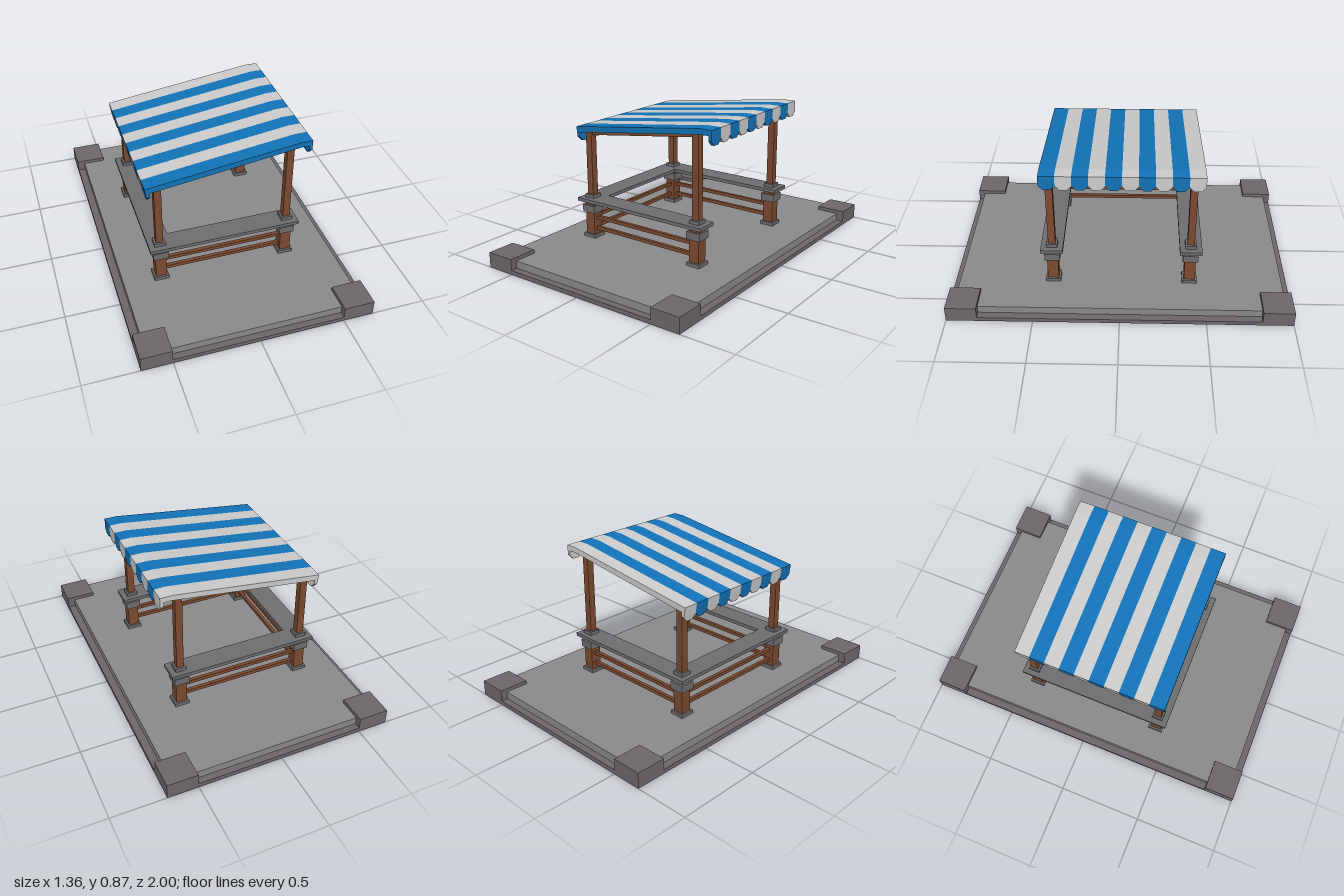
import * as THREE from 'three';

const mat = (color) => new THREE.MeshStandardMaterial({ color });

export function createModel() {
  const root = new THREE.Group();
  const slabMat = mat(0x8a8a8c), stone = mat(0x6d676b), metal = mat(0x6e6d70);
  const wood = mat(0x7c4a2f), blue = mat(0x1273b8), white = mat(0xcccccc);

  // Box given by its ranges on each axis
  function box(name, material, [x0, x1], [y0, y1], [z0, z1], parent = root) {
    const m = new THREE.Mesh(new THREE.BoxGeometry(x1 - x0, y1 - y0, z1 - z0), material);
    m.position.set((x0 + x1) / 2, (y0 + y1) / 2, (z0 + z1) / 2);
    m.name = name;
    parent.add(m);
    return m;
  }
  const around = (c, w) => [c - w / 2, c + w / 2];

  // Ground platform with a ledge and four corner blocks
  box('platformLedge', stone, [-0.68, 0.68], [0, 0.025], [-1, 1]);
  box('platformSlab', slabMat, [-0.635, 0.635], [0.02, 0.07], [-0.96, 0.96]);
  for (const sx of [-1, 1]) for (const sz of [-1, 1]) {
    box('cornerBlock', stone, around(sx * 0.59, 0.18), [0, 0.092], around(sz * 0.91, 0.18));
  }

  // Posts: foot, thick lower part, collars and slim upper part
  const xL = -0.41, xR = 0.362, zF = 0.4, zB = -0.41;
  const roofY = (x) => 0.785 + 0.1345 * x; // underside of the awning
  for (const x of [xL, xR]) for (const z of [zF, zB]) {
    const post = new THREE.Group();
    post.name = 'post';
    root.add(post);
    const part = (name, material, w, y0, y1) =>
      box(name, material, around(x, w), [y0, y1], around(z, w), post);
    part('postFoot', metal, 0.088, 0.07, 0.091);
    part('lowerPost', wood, 0.065, 0.09, 0.301);
    part('postCollar', metal, 0.09, 0.23, 0.275);
    part('upperCollar', metal, 0.065, 0.319, 0.341);
    part('upperPost', wood, 0.042, 0.34, roofY(x) + 0.004);
  }

  // Counter on three sides, open towards +x
  const half = 0.065;
  for (const z of [zF, zB]) {
    box('sideCounter', metal, [xL - half, xR + half], [0.299, 0.32], around(z, 2 * half));
  }
  box('endCounter', metal, around(xL, 2 * half), [0.299, 0.32], [zB + half, zF - half]);

  // Horizontal rails below the counter
  for (const y of [0.127, 0.196]) {
    for (const z of [zF, zB]) box('sideRail', wood, [xL, xR], around(y, 0.021), around(z, 0.021));
    box('endRail', wood, around(xL, 0.021), around(y, 0.021), [zB, zF]);
  }

  // Roof beams: two sloping, two level
  for (const z of [zF, zB]) {
    const s = new THREE.Shape();
    s.moveTo(xL, roofY(xL) - 0.022);
    s.lineTo(xR, roofY(xR) - 0.022);
    s.lineTo(xR, roofY(xR) + 0.002);
    s.lineTo(xL, roofY(xL) + 0.002);
    const g = new THREE.ExtrudeGeometry(s, { depth: 0.022, bevelEnabled: false });
    const beam = new THREE.Mesh(g.translate(0, 0, z - 0.011), wood);
    beam.name = 'slopingBeam';
    root.add(beam);
  }
  for (const x of [xL, xR]) {
    box('crossBeam', wood, around(x, 0.022), [roofY(x) - 0.022, roofY(x)], [zB, zF]);
  }

  // Striped awning: one panel and two hanging flaps per stripe
  const stripe = 0.0908, zStart = 0.443;
  const panelShape = new THREE.Shape([
    [-0.485, 0.755], [-0.481, 0.72], [0.412, 0.84], [0.48, 0.84], [0.48, 0.872], [0.405, 0.872],
  ].map(([x, y]) => new THREE.Vector2(x, y)));
  const panelGeo = new THREE.ExtrudeGeometry(panelShape, { depth: stripe, bevelEnabled: false });
  panelGeo.translate(0, 0, -stripe / 2);

  const w = stripe / 2;
  const flapShape = new THREE.Shape([
    [-w, -0.031], [-w, -0.061], [-0.021, -0.088], [0.021, -0.088], [w, -0.061], [w, -0.031],
  ].map(([x, y]) => new THREE.Vector2(x, y)));
  const flapGeo = new THREE.ExtrudeGeometry(flapShape, { depth: 0.02, bevelEnabled: false });
  flapGeo.rotateY(Math.PI / 2); // thickness runs along +x

  const awning = new THREE.Group();
  awning.name = 'awning';
  root.add(awning);
  for (let i = 0; i < 10; i++) {
    const material = i % 2 ? white : blue;
    const z = zStart - (i + 0.5) * stripe;
    const panel = new THREE.Mesh(panelGeo, material);
    panel.name = 'awningStripe';
    panel.position.z = z;
    const low = new THREE.Mesh(flapGeo, material);
    low.name = 'lowFlap';
    low.position.set(-0.485, 0.755, z);
    low.rotation.z = 0.13;
    const high = new THREE.Mesh(flapGeo, material);
    high.name = 'highFlap';
    high.position.set(0.46, 0.872, z);
    awning.add(panel, low, high);
  }
  return root;
}
